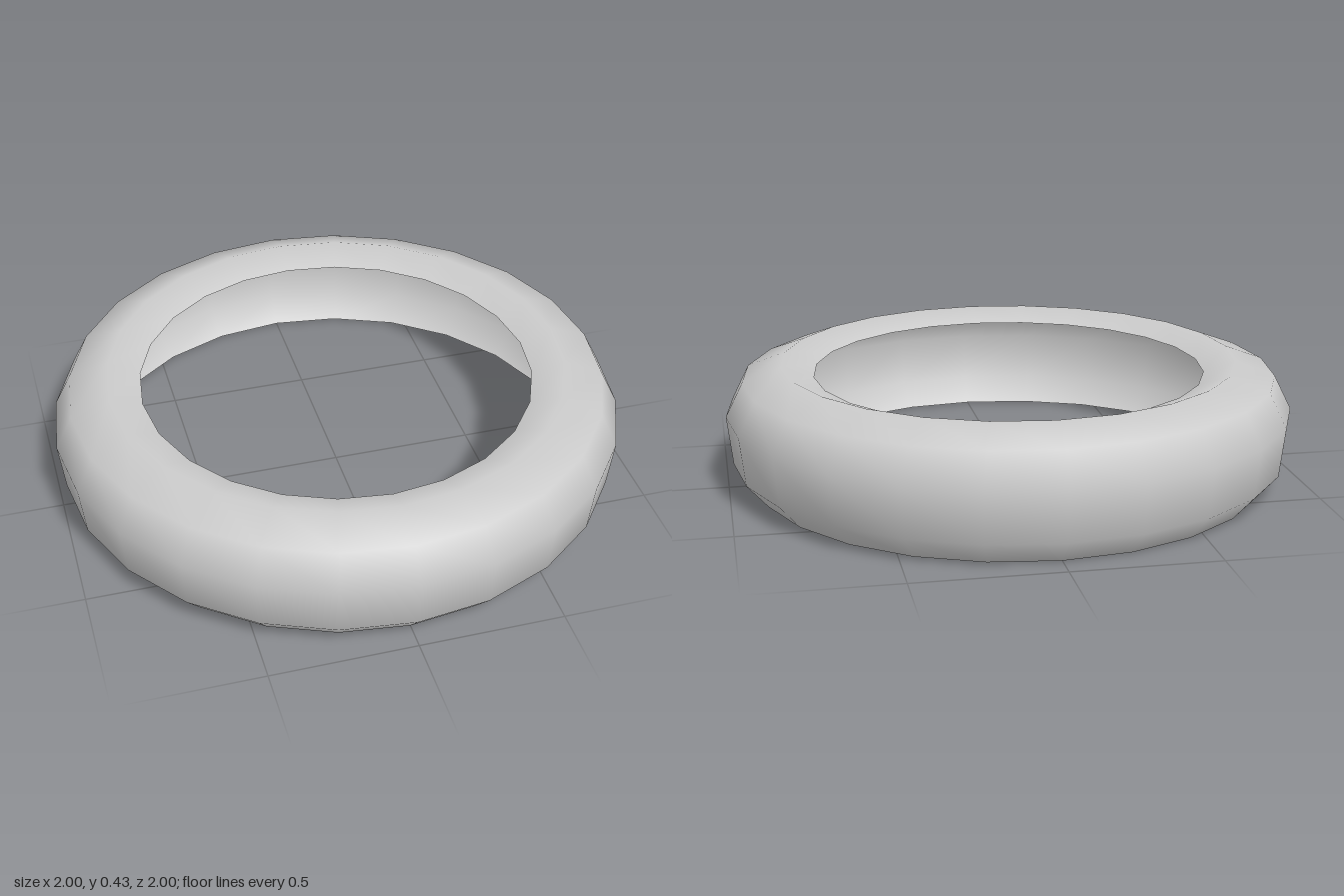
import * as THREE from 'three';

export function createModel() {
  const group = new THREE.Group();
  group.name = 'ring';

  // Open shell profile: bottom rim, around the bulging side, over the top to the inner lip
  const profile = [
    [0.905, 0], [0.98, 0.085], [1, 0.257], [0.94, 0.376], [0.803, 0.428], [0.69, 0.385],
  ].map(([r, y]) => new THREE.Vector2(r, y));

  // Smooth shaded, 24-sided ring, hollow and open towards the inside
  const material = new THREE.MeshStandardMaterial({ color: 0xcccccc, side: THREE.DoubleSide });
  const shell = new THREE.Mesh(new THREE.LatheGeometry(profile, 24), material);
  shell.name = 'ringShell';
  group.add(shell);

  return group;
}
